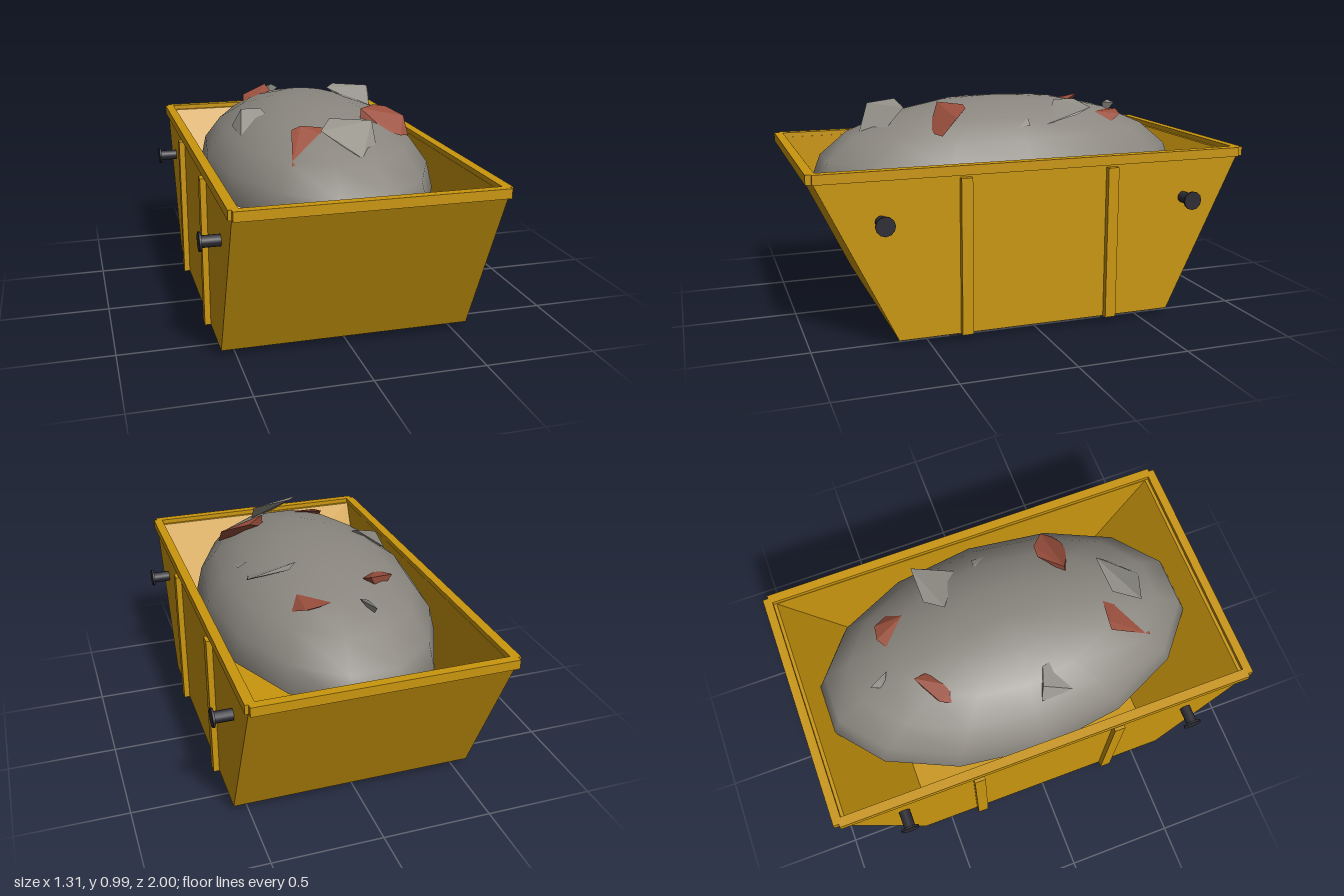
import * as THREE from 'three';
import { ConvexGeometry } from 'three/addons/geometries/ConvexGeometry.js';

const material = (name, color) => {
  const m = new THREE.MeshStandardMaterial({ color });
  m.name = name;
  return m;
};

export function createModel() {
  const yellow = material('yellow paint', 0xca960e);
  const black = material('black steel', 0x2b2b33);
  const rubble = material('rubble grey', 0x8b8780);
  const stone = material('stone grey', 0x97948c);
  const brick = material('brick red', 0x9a4f3d);

  const model = new THREE.Group();
  model.name = 'skip';

  function add(name, geometry, mat, x = 0, y = 0, z = 0) {
    const mesh = new THREE.Mesh(geometry, mat);
    mesh.name = name;
    mesh.position.set(x, y, z);
    model.add(mesh);
    return mesh;
  }
  const box = (name, mat, w, h, d, x, y, z) => add(name, new THREE.BoxGeometry(w, h, d), mat, x, y, z);

  // Side profile in (z, y), extruded across the width and centred on x
  function acrossWidth(points, width) {
    const shape = new THREE.Shape(points.map(([z, y]) => new THREE.Vector2(z, y)));
    const g = new THREE.ExtrudeGeometry(shape, { depth: width, bevelEnabled: false });
    return g.translate(0, 0, -width / 2).rotateY(Math.PI / 2);
  }

  // Sloping ends and floor in one channel, closed by two side plates
  const outer = [[-0.98, 0.75], [-0.635, 0.03], [0.635, 0.03], [0.98, 0.75]];
  const inner = [[0.945, 0.75], [0.6, 0.06], [-0.6, 0.06], [-0.945, 0.75]];
  add('endsAndFloor', acrossWidth([...outer, ...inner], 1.07), yellow);
  for (const s of [-1, 1]) add('sidePlate', acrossWidth(outer, 0.03), yellow, s * 0.55);

  // Rim bars, the end bars a little narrower than the sides
  for (const s of [-1, 1]) {
    box('sideRim', yellow, 0.043, 0.042, 1.95, s * 0.5585, 0.751, 0);
    box('endRim', yellow, 1.13, 0.042, 0.04, 0, 0.751, s * 0.98);
  }

  // Ribs, lifting pins and runners
  for (const sz of [-1, 1]) {
    box('runner', black, 1.01, 0.03, 0.063, 0, 0.015, sz * 0.363);
    for (const sx of [-1, 1]) {
      box('sideRib', yellow, 0.032, 0.69, 0.05, sx * 0.576, 0.375, sz * 0.337);
      const pin = new THREE.CylinderGeometry(0.026, 0.026, 0.09, 12).rotateZ(Math.PI / 2);
      add('liftingPin', pin, black, sx * 0.605, 0.557, sz * 0.7);
      const cap = new THREE.CylinderGeometry(0.042, 0.042, 0.01, 12).rotateZ(Math.PI / 2);
      add('pinCap', cap, black, sx * 0.65, 0.557, sz * 0.7);
    }
  }

  // Heaped load
  const heap = new THREE.SphereGeometry(1, 14, 5, 0, Math.PI * 2, 0, Math.PI / 2);
  add('rubbleHeap', heap.scale(0.525, 0.38, 0.907), rubble, 0, 0.612, 0);

  // Angular chunks lying on the heap, each the hull of a few corners
  const chunk = (name, mat, corners) =>
    add(name, new ConvexGeometry(corners.map((c) => new THREE.Vector3(...c))), mat);

  chunk('frontLeftBrick', brick, [
    [0.14, 0.985, 0.34], [0.135, 0.92, 0.35], [0.23, 0.98, 0.245], [0.29, 0.97, 0.25],
    [0.355, 0.935, 0.31], [0.355, 0.86, 0.375], [0.31, 0.865, 0.4], [0.24, 0.89, 0.4]]);
  chunk('frontRightBrick', brick, [
    [-0.245, 0.82, 0.62], [-0.2, 0.93, 0.435], [-0.16, 0.945, 0.435], [-0.06, 0.935, 0.45],
    [-0.03, 0.9, 0.55], [-0.09, 0.85, 0.615]]);
  chunk('backRightBrick', brick, [
    [-0.265, 0.88, -0.31], [-0.25, 0.93, -0.39], [-0.12, 0.965, -0.465], [-0.105, 0.94, -0.41],
    [-0.2, 0.92, -0.305], [-0.18, 0.86, -0.42]]);
  chunk('backLeftBrick', brick, [
    [0.08, 0.91, -0.53], [0.13, 0.915, -0.56], [0.2, 0.9, -0.55], [0.245, 0.87, -0.485],
    [0.245, 0.87, -0.41], [0.2, 0.915, -0.415], [0.15, 0.86, -0.48]]);
  chunk('frontStone', stone, [
    [-0.12, 0.96, 0.61], [-0.05, 0.985, 0.495], [0.14, 0.965, 0.495], [0.135, 0.88, 0.57],
    [0.04, 0.85, 0.68], [-0.02, 0.885, 0.655]]);
  chunk('leftStone', stone, [
    [0.145, 0.975, -0.23], [0.2, 0.98, -0.31], [0.385, 0.962, -0.31], [0.375, 0.93, -0.25],
    [0.335, 0.885, -0.115], [0.25, 0.9, -0.17]]);
  chunk('rightStone', stone, [
    [-0.385, 0.87, 0.03], [-0.345, 0.95, 0.05], [-0.26, 0.955, 0.08], [-0.24, 0.93, 0.13],
    [-0.3, 0.86, 0.18], [-0.375, 0.85, 0.19]]);
  chunk('smallStone', stone, [
    [0.285, 0.91, 0.01], [0.32, 0.915, -0.035], [0.36, 0.89, -0.03], [0.36, 0.88, 0.03],
    [0.32, 0.87, 0.06], [0.29, 0.875, 0.05]]);
  chunk('backStone', stone, [
    [-0.075, 0.915, -0.655], [-0.03, 0.925, -0.565], [-0.055, 0.935, -0.605], [-0.08, 0.86, -0.6]]);

  return model;
}
